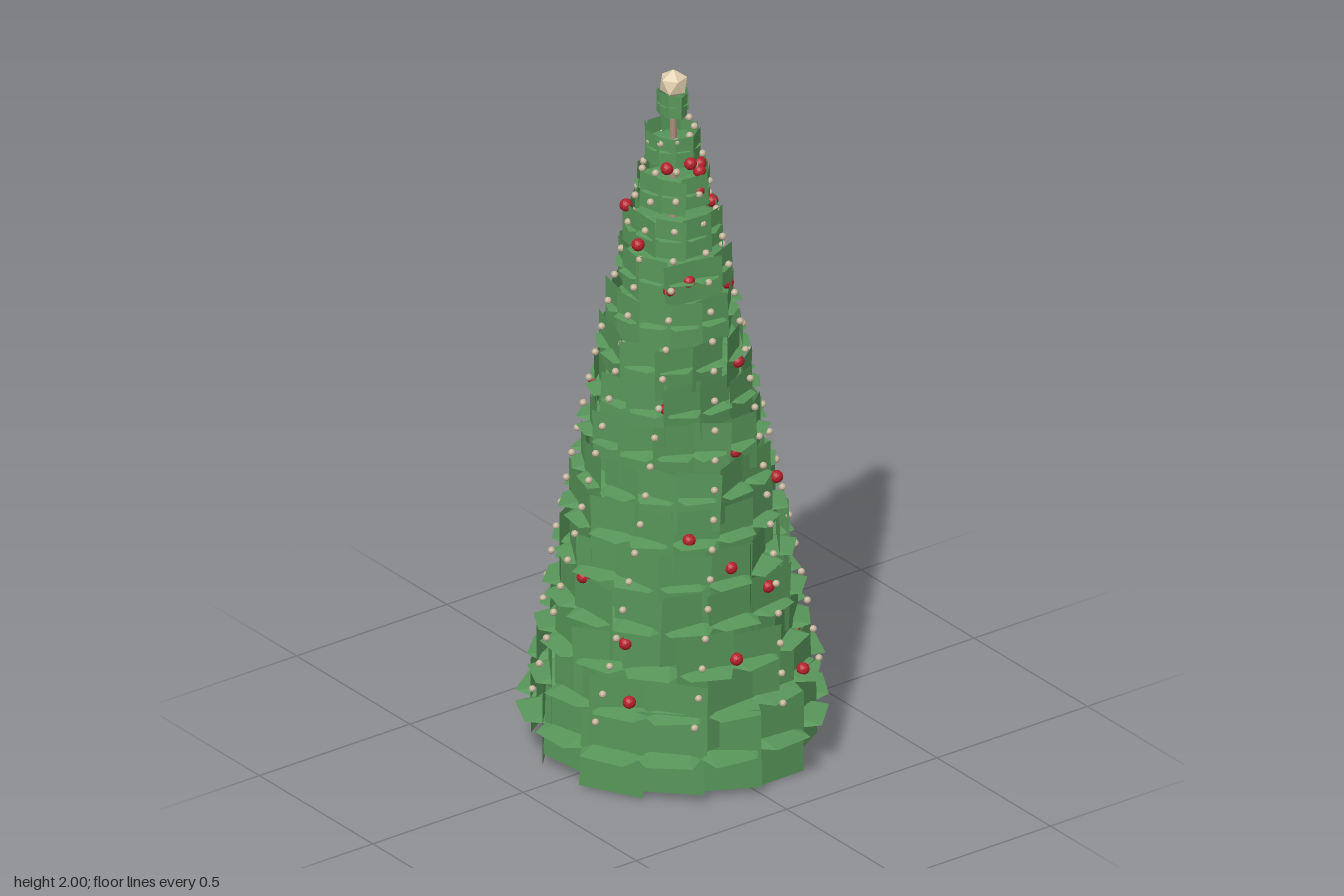
import * as THREE from 'three';
import { mergeGeometries } from 'three/addons/utils/BufferGeometryUtils.js';

const TIERS = 16;

// Small seeded generator, returns -1..1
function makeJitter(seed) {
  let s = seed;
  return () => {
    s = (s * 16807) % 2147483647;
    return (s / 2147483647) * 2 - 1;
  };
}

function material(color) {
  return new THREE.MeshStandardMaterial({ color, flatShading: true, side: THREE.DoubleSide });
}

// Shallow cone of blunt branch tips, rising to the stem
function branchDisc(radius, teeth, turn, jitter) {
  const n = teeth * 3;
  const geo = new THREE.CircleGeometry(radius, n);
  const pos = geo.attributes.position;
  const rim = [];
  for (let i = 0; i < n; i++) {
    const k = Math.floor(i / 3), j = i % 3;
    const a = ((k + [-0.33, 0.33, 0.5][j]) / teeth) * Math.PI * 2 + turn;
    const r = radius * (j === 2 ? 0.89 : 1 + 0.025 * jitter());
    rim.push([r * Math.cos(a), 0.01 * radius * jitter(), -r * Math.sin(a)]);
  }
  pos.setXYZ(0, 0, 0.14 * radius, 0);
  for (let i = 0; i <= n; i++) pos.setXYZ(i + 1, ...rim[i % n]);
  geo.computeVertexNormals();
  return geo;
}

// Upright panels standing around the disc, each turned askew
function panelRing(radius, height, count, turn, jitter) {
  const panels = [];
  const width = 2 * radius * Math.tan(Math.PI / count) * 1.12;
  for (let i = 0; i < count; i++) {
    const geo = new THREE.PlaneGeometry(width, height * (1 + 0.07 * jitter()));
    geo.rotateZ(0.06 * jitter());
    geo.rotateY(0.36 * jitter());
    geo.translate(0, 0.05 * height * jitter(), radius * (0.98 + 0.03 * jitter()));
    geo.rotateY((i / count) * Math.PI * 2 + turn + Math.PI / 2);
    panels.push(geo);
  }
  return panels;
}

export function createModel() {
  const model = new THREE.Group();
  const green = material(0x58965a);
  const beige = material(0xe3d0b0);
  const beadMat = material(0xc4b49c);
  const red = material(0xb4202c);
  const add = (name, geo, mat, parent = model) => {
    const mesh = new THREE.Mesh(geo, mat);
    mesh.name = name;
    parent.add(mesh);
    return mesh;
  };

  // Trunk
  const trunk = add('trunk', new THREE.CylinderGeometry(0.008, 0.034, 1.84, 10), material(0xa48f7c));
  trunk.position.y = 1.01;

  // Foliage tiers, from the bottom up
  const foliage = new THREE.Group();
  foliage.name = 'foliage';
  model.add(foliage);
  const jitter = makeJitter(4711);
  for (let i = 0; i < TIERS; i++) {
    const t = 1 - i / (TIERS - 1);
    const radius = 0.039 + 0.318 * Math.pow(t, 0.87);
    const count = Math.round(8 + 6 * Math.min(1, t * 1.8));
    const turn = i === 0 ? 0 : jitter() * 0.4;
    const geo = mergeGeometries([
      branchDisc(radius * (1.1 + 0.08 * t), count, turn, jitter),
      ...panelRing(radius, 0.068 + 0.157 * Math.pow(t, 0.8), count, turn, jitter),
    ]);
    add('foliageTier', geo, green, foliage).position.y = 0.127 + i * 0.1185;
  }

  // Bead garland winding down from the tip
  const garland = new THREE.Group();
  garland.name = 'garland';
  model.add(garland);
  const beadGeo = new THREE.IcosahedronGeometry(0.01, 1);
  const beads = 190;
  for (let i = 0; i < beads; i++) {
    const t = 1 - i / (beads - 1);
    const a = -i * THREE.MathUtils.degToRad(40.22);
    const r = 0.05 + 0.35 * Math.pow(t, 0.9);
    add('bead', beadGeo, beadMat, garland)
      .position.set(r * Math.cos(a), 1.85 - 1.67 * t, r * Math.sin(a));
  }

  // Red baubles
  const baubles = new THREE.Group();
  baubles.name = 'baubles';
  model.add(baubles);
  const baubleGeo = new THREE.IcosahedronGeometry(0.018, 1);
  [
    [-0.29, 0.28, 0.19], [0.22, 0.26, 0.28], [0.305, 0.31, 0.15], [-0.035, 0.385, 0.325],
    [-0.28, 0.44, 0.16], [0.1, 0.545, 0.285], [-0.02, 0.635, 0.28], [-0.125, 0.73, 0.235],
    [0.04, 0.94, 0.22], [-0.135, 1.09, 0.15], [0.09, 1.17, 0.165], [-0.09, 1.41, 0.1],
    [-0.04, 1.43, 0.12], [-0.055, 1.74, 0.045], [0, 1.75, 0.075], [0.03, 1.72, 0.075],
    [0.07, 1.71, 0.025], [0.02, 1.67, 0.085], [0, 0.375, -0.345], [-0.3, 0.58, 0],
    [0.215, 0.79, 0.17], [0.22, 0.74, -0.145], [0, 1.2, -0.2], [-0.135, 1.05, -0.17],
    [0.08, 1.46, -0.1], [0.08, 1.36, -0.13], [-0.105, 1.6, -0.07], [-0.125, 1.52, 0.01],
    [0.145, 1.34, 0.045], [0.105, 1.59, 0.03],
  ].forEach((p) => add('bauble', baubleGeo, red, baubles).position.set(...p));

  // Faceted topper, one corner straight up
  const topper = add('topper', new THREE.IcosahedronGeometry(0.041, 0), beige);
  topper.rotation.z = THREE.MathUtils.degToRad(31.7);
  topper.position.y = 1.959;

  return model;
}
